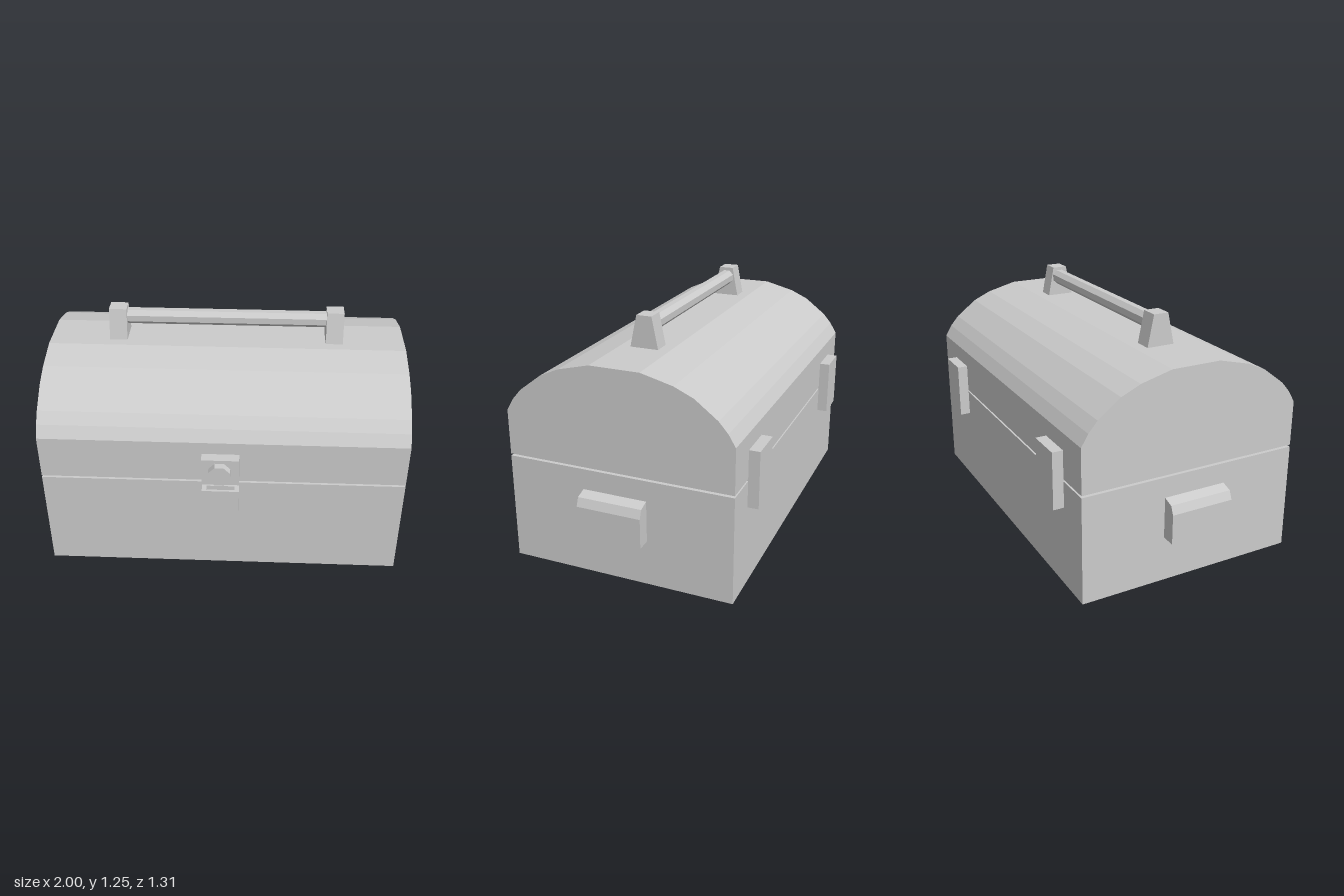
import * as THREE from 'three';

const material = new THREE.MeshStandardMaterial({ color: 0xcccccc, flatShading: true });

export function createModel() {
  const model = new THREE.Group();

  const add = (name, geometry) => {
    const mesh = new THREE.Mesh(geometry, material);
    mesh.name = name;
    model.add(mesh);
    return mesh;
  };

  // Box given by its limits on each axis
  const block = (name, [x0, x1], [y0, y1], [z0, z1]) =>
    add(name, new THREE.BoxGeometry(x1 - x0, y1 - y0, z1 - z0)
      .translate((x0 + x1) / 2, (y0 + y1) / 2, (z0 + z1) / 2));

  // Profile of [z, y] points extruded along x
  const prism = (name, points, x0, x1) => {
    const shape = new THREE.Shape(points.map(([z, y]) => new THREE.Vector2(z, y)));
    const geometry = new THREE.ExtrudeGeometry(shape, { depth: x1 - x0, bevelEnabled: false });
    return add(name, geometry.rotateY(-Math.PI / 2).translate(x1, 0, 0));
  };

  // Lower box
  block('lowerBox', [-0.928, 0.928], [0, 0.556], [-0.6, 0.568]);

  // Domed lid: half profile mirrored about its own middle
  const mid = -0.016;
  const half = [[0.584, 0.567], [0.584, 0.8], [0.548, 0.86], [0.502, 0.913],
    [0.388, 1.0], [0.29, 1.044], [0.128, 1.085]];
  const dome = [
    ...half.map(([z, y]) => [mid + z, y]),
    ...half.slice().reverse().map(([z, y]) => [mid - z, y]),
  ];
  prism('lid', dome, -0.928, 0.928);

  // Top handle: two tapered posts and an eight-sided bar
  const post = [[0.06, 1.08], [-0.088, 1.08], [-0.055, 1.246], [0.024, 1.246]];
  prism('handlePostRight', post, -0.615, -0.523);
  prism('handlePostLeft', post, 0.517, 0.606);
  add('handleBar', new THREE.CylinderGeometry(0.042, 0.042, 1.06, 8)
    .rotateY(Math.PI / 8).rotateZ(Math.PI / 2).translate(-0.004, 1.19, -0.019));

  // Side grips, rounded off at the upper outer edge
  const grip = new THREE.Shape([[0.92, 0.236], [1, 0.236], [1, 0.39], [0.982, 0.433], [0.92, 0.452]]
    .map(([x, y]) => new THREE.Vector2(x, y)));
  for (const [name, turn] of [['gripLeft', 0], ['gripRight', Math.PI]]) {
    add(name, new THREE.ExtrudeGeometry(grip, { depth: 0.332, bevelEnabled: false })
      .translate(0, 0, -0.166).rotateY(turn).translate(0, 0, 0.003));
  }

  // Back hinges
  block('hingeRight', [-0.743, -0.557], [0.42, 0.714], [-0.655, -0.592]);
  block('hingeLeft', [0.56, 0.747], [0.42, 0.714], [-0.655, -0.592]);

  // Latch plate with an eight-sided knob
  block('latchPlate', [-0.103, 0.086], [0.588, 0.733], [0.56, 0.621]);
  add('latchKnob', new THREE.CylinderGeometry(0.059, 0.059, 0.045, 8)
    .rotateY(Math.PI / 8).rotateX(Math.PI / 2).translate(-0.012, 0.66, 0.635));

  // Catch below the latch: a block with a slot in its top
  block('catchBase', [-0.103, 0.086], [0.393, 0.48], [0.56, 0.621]);
  const rim = new THREE.Shape([[-0.103, -0.621], [0.086, -0.621], [0.086, -0.56], [-0.103, -0.56]]
    .map(([x, y]) => new THREE.Vector2(x, y)));
  rim.holes.push(new THREE.Path([[-0.08, -0.608], [-0.08, -0.578], [0.063, -0.578], [0.063, -0.608]]
    .map(([x, y]) => new THREE.Vector2(x, y))));
  add('catchRim', new THREE.ExtrudeGeometry(rim, { depth: 0.057, bevelEnabled: false })
    .rotateX(-Math.PI / 2).translate(0, 0.48, 0));

  return model;
}
